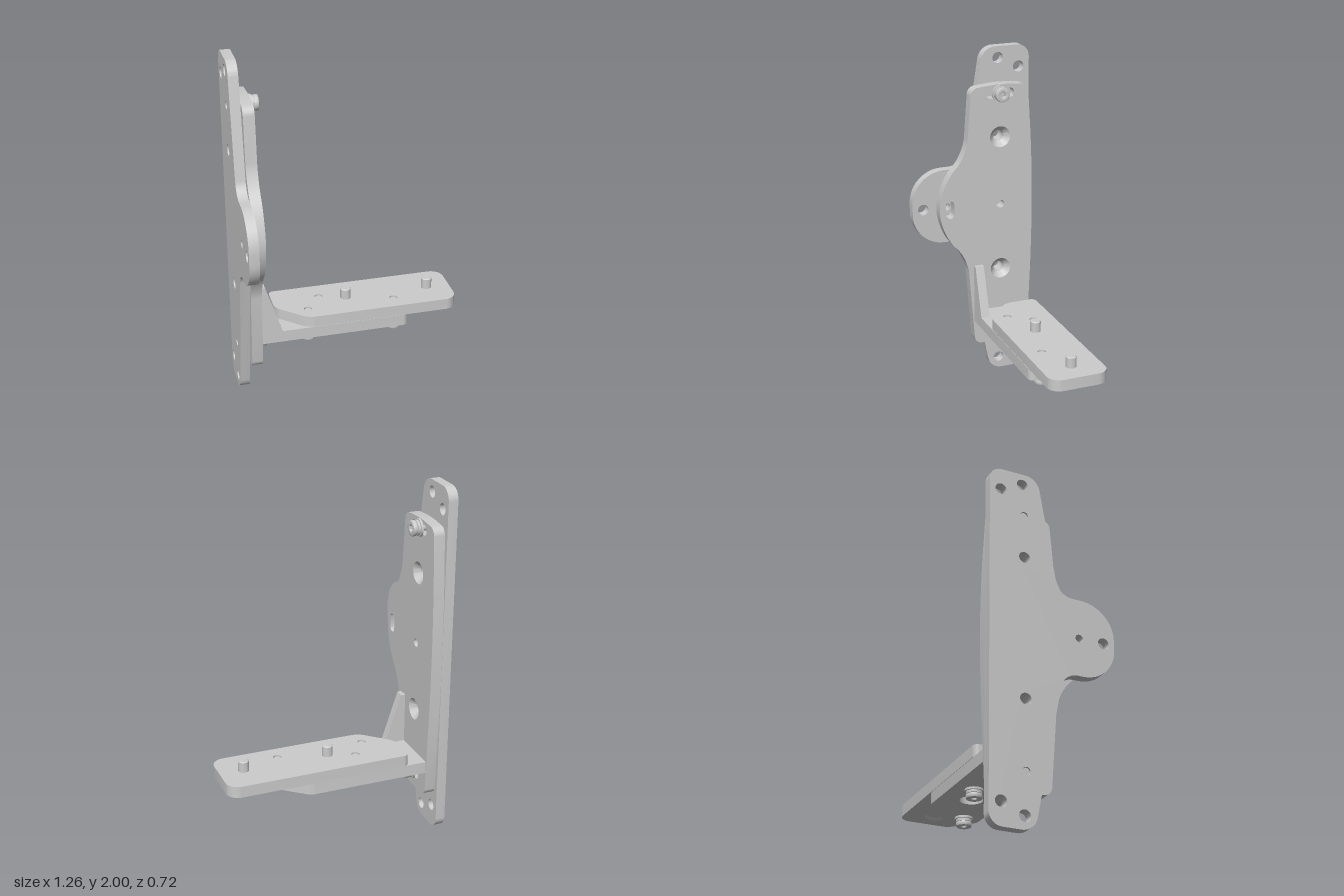
import * as THREE from 'three';
import { toCreasedNormals } from 'three/addons/utils/BufferGeometryUtils.js';

const material = new THREE.MeshStandardMaterial({ color: 0xcccccc });

function part(name, geometry, parent) {
  const mesh = new THREE.Mesh(toCreasedNormals(geometry, 0.5), material);
  mesh.name = name;
  parent.add(mesh);
  return mesh;
}

// Closed outline from corners [u, v, t]; t is how far back the corner rounding starts
function rounded(corners) {
  const shape = new THREE.Shape();
  const n = corners.length;
  const at = (i) => new THREE.Vector2(...corners[(i + n) % n].slice(0, 2));
  for (let i = 0; i < n; i++) {
    const c = at(i), t = corners[i][2] || 0;
    const a = at(i - 1).sub(c).setLength(t).add(c);
    const b = at(i + 1).sub(c).setLength(t).add(c);
    if (i === 0) shape.moveTo(a.x, a.y);
    else shape.lineTo(a.x, a.y);
    if (t > 0) {
      const h1 = a.clone().lerp(c, 0.55), h2 = b.clone().lerp(c, 0.55);
      shape.bezierCurveTo(h1.x, h1.y, h2.x, h2.y, b.x, b.y);
    }
  }
  shape.closePath();
  return shape;
}

const circle = (u, v, r) => new THREE.Path().absarc(u, v, r, 0, Math.PI * 2, true);

// Slot with half sizes a (along u) and b (along v)
function slot(u, v, a, b) {
  const r = Math.min(a, b) * 0.98;
  return rounded([[u - a, v - b, r], [u + a, v - b, r], [u + a, v + b, r], [u - a, v + b, r]]);
}

function extrude(shape, holes, depth) {
  shape.holes.push(...holes);
  return new THREE.ExtrudeGeometry(shape, { depth, bevelEnabled: false, curveSegments: 12 });
}

// Upright plate: corners are [z, y, t], thickness runs along x
function uprightPlate(name, corners, holes, x0, x1, parent) {
  const shape = rounded(corners.map(([z, y, t]) => [-z, y, t]));
  const geo = extrude(shape, holes, x1 - x0).rotateY(Math.PI / 2).translate(x0, 0, 0);
  return part(name, geo, parent);
}

// Flat plate: corners are [x, z, t], thickness runs along y
function flatPlate(name, corners, holes, y0, y1, parent) {
  const shape = rounded(corners.map(([x, z, t]) => [x, -z, t]));
  const geo = extrude(shape, holes, y1 - y0).rotateX(-Math.PI / 2).translate(0, y0, 0);
  return part(name, geo, parent);
}

function lathe(points, segments = 24) {
  return new THREE.LatheGeometry(points.map((p) => new THREE.Vector2(...p)), segments);
}

// Socket-head screw with washer; seat at the origin, head towards +y
function screw(name, length, parent) {
  const group = new THREE.Group();
  group.name = name;
  part('shankAndWasher', lathe([[0, -length], [0.02, -length], [0.02, 0], [0.05, 0], [0.05, 0.012],
    [0.043, 0.012], [0.043, 0.026], [0, 0.026]]), group);
  const head = new THREE.Shape().absarc(0, 0, 0.037, 0, Math.PI * 2);
  const socket = new THREE.Path();
  for (let i = 0; i < 6; i++) {
    const a = -i * Math.PI / 3;
    socket[i ? 'lineTo' : 'moveTo'](0.024 * Math.cos(a), 0.024 * Math.sin(a));
  }
  socket.closePath();
  head.holes.push(socket);
  const geo = new THREE.ExtrudeGeometry(head, {
    depth: 0.014, bevelThickness: 0.006, bevelSize: 0.006, bevelSegments: 2, curveSegments: 12,
  });
  part('socketHead', geo.rotateX(-Math.PI / 2).translate(0, 0.032, 0), group);
  parent.add(group);
  return group;
}

export function createModel() {
  const model = new THREE.Group();
  model.name = 'bracketAssembly';
  const axisZ = -0.155;
  const screwY = [1.745, 0.3];
  const sinkY = [1.49, 0.683];

  // Tall back plate with a side lobe
  uprightPlate('backPlate', [
    [-0.075, 2, 0.07], [0.04, 1.31, 0.08], [0.36, 1.31, 0.19], [0.36, 0.87, 0.19],
    [0.06, 0.87, 0.08], [-0.112, 0, 0.07], [-0.355, 0, 0.07], [-0.355, 2, 0.07],
  ], [
    circle(0.165, 1.935, 0.032), circle(0.29, 1.876, 0.032),
    circle(0.29, 0.127, 0.032), circle(0.165, 0.072, 0.032),
    circle(-0.297, 1.085, 0.032), circle(-0.155, 1.085, 0.022),
    ...sinkY.map((y) => circle(-axisZ, y, 0.032)),
    ...screwY.map((y) => circle(-axisZ, y, 0.022)),
  ], -0.63, -0.575, model);

  // Front mounting plate
  uprightPlate('mountingPlate', [
    [0.02, 1.785, 0.04], [0.05, 1.4, 0.09], [0.217, 1.22, 0.13], [0.217, 0.95, 0.13],
    [0.05, 0.77, 0.09], [0.008, 0.218, 0.04], [-0.155, 0.21, 0], [-0.325, 0.218, 0.04],
    [-0.353, 0.85, 0.2], [-0.353, 1.32, 0.2], [-0.325, 1.785, 0.04], [-0.155, 1.8, 0.06],
  ], [
    ...sinkY.map((y) => circle(-axisZ, y, 0.062)),
    ...screwY.map((y) => slot(-axisZ, y, 0.085, 0.028)),
    slot(-0.155, 1.085, 0.026, 0.053),
    circle(-axisZ, 1.085, 0.024),
  ], -0.575, -0.513, model);

  // Countersunk seats and clamp screws on the mounting plate
  for (const y of sinkY) {
    const seat = part('countersink', lathe([[0.032, 0], [0.062, 0], [0.062, 0.062],
      [0.032, 0.03], [0.032, 0]], 32), model);
    seat.position.set(-0.575, y, axisZ);
    seat.rotation.z = -Math.PI / 2;
  }
  for (const y of screwY) {
    const s = screw('clampScrew', 0.11, model);
    s.position.set(-0.513, y, axisZ);
    s.rotation.z = -Math.PI / 2;
  }

  // Support arm and its gusset
  const screwXZ = [[-0.228, -0.085], [-0.138, -0.21], [0.275, -0.085]];
  const pinXZ = [[0.01, -0.16], [0.495, -0.16]];
  const screwHoles = () => screwXZ.map(([x, z]) => circle(x, -z, 0.023));
  flatPlate('supportArm', [
    [-0.515, 0.012, 0], [0.343, 0.012, 0.04], [0.343, -0.18, 0.03],
    [0.17, -0.328, 0.03], [-0.515, -0.328, 0],
  ], [...screwHoles(), circle(0.01, 0.16, 0.062)], 0.365, 0.432, model);
  const gusset = rounded([[-0.515, 0.432], [-0.395, 0.432], [-0.488, 0.72], [-0.515, 0.72]]);
  part('gusset', extrude(gusset, [], 0.052).translate(0, 0, -0.04), model);

  // Top platform with a cut corner
  flatPlate('platform', [
    [-0.41, -0.33, 0.03], [-0.41, -0.145, 0.04], [-0.245, 0.01, 0.04],
    [0.63, 0.01, 0.07], [0.63, -0.33, 0.07],
  ], [...screwHoles(), ...pinXZ.map(([x, z]) => circle(x, -z, 0.062))], 0.432, 0.497, model);

  // Upright pins, recessed from below
  for (const [x, z] of pinXZ) {
    const pin = part('pin', lathe([[0, 0.445], [0.05, 0.445], [0.062, 0.432], [0.062, 0.497],
      [0.03, 0.497], [0.03, 0.555], [0.024, 0.56], [0, 0.56]]), model);
    pin.position.set(x, 0, z);
  }

  // Platform screws from below
  for (const [x, z] of screwXZ) {
    const s = screw('platformScrew', 0.124, model);
    s.position.set(x, 0.365, z);
    s.rotation.x = Math.PI;
  }
  return model;
}
